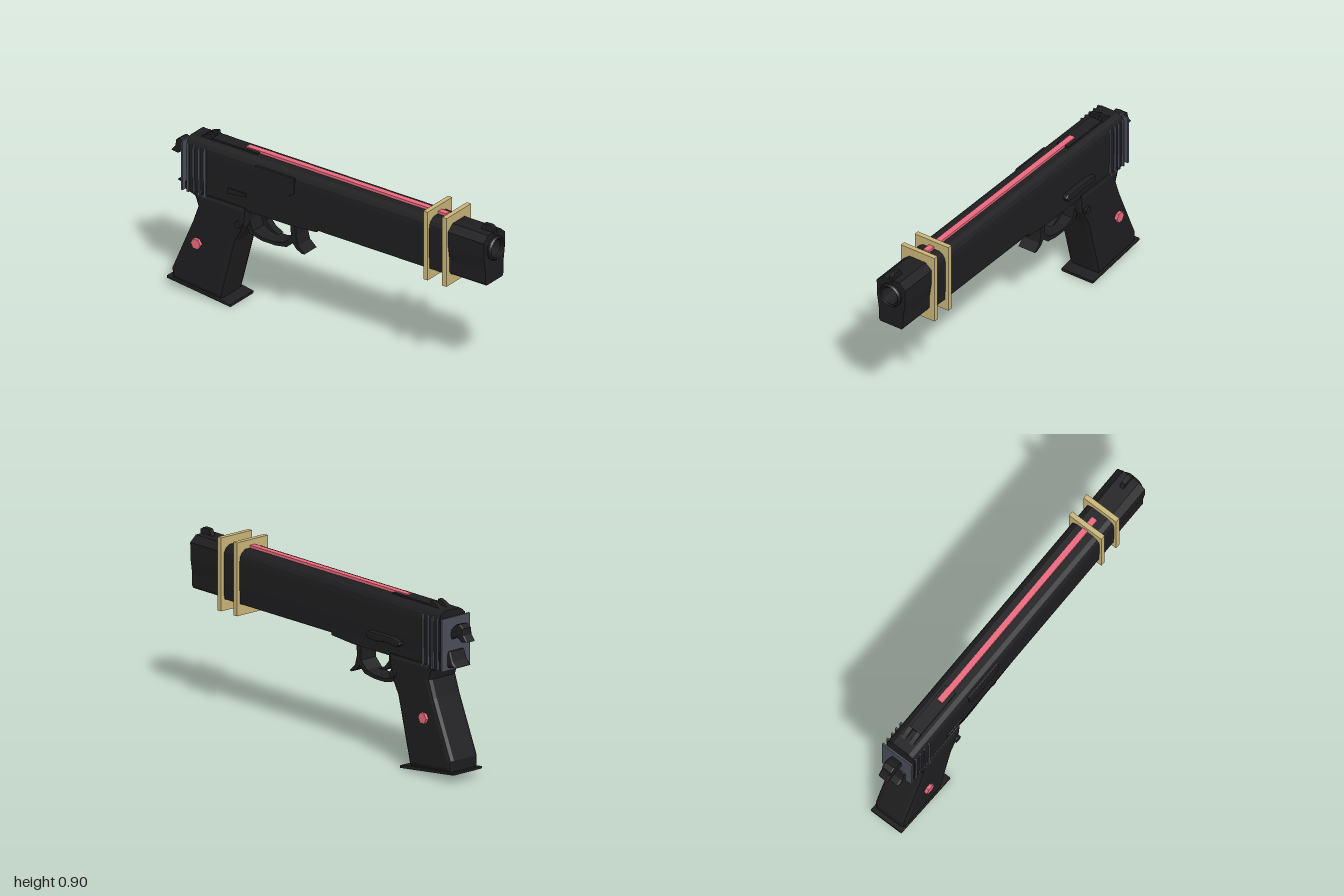
import * as THREE from 'three';

const mat = (color) => new THREE.MeshStandardMaterial({ color, flatShading: true, side: THREE.DoubleSide });

export function createModel() {
  const group = new THREE.Group();
  const black = mat(0x1e1e20), gold = mat(0xc8b478), pink = mat(0xe8697c), grey = mat(0x4a4d57);

  const add = (name, geo, material, x = 0, y = 0, z = 0) => {
    const mesh = new THREE.Mesh(geo, material);
    mesh.name = name;
    mesh.position.set(x, y, z);
    group.add(mesh);
    return mesh;
  };
  const box = (name, material, w, h, d, x, y, z) => add(name, new THREE.BoxGeometry(w, h, d), material, x, y, z);
  const points = (list) => list.map(([u, v]) => new THREE.Vector2(u, v));

  // Side outline given as [z, y], extruded across x and centred
  const side = (name, outline, width, bevel = 0, x = 0, hole = null) => {
    const shape = new THREE.Shape(points(outline));
    if (hole) shape.holes.push(new THREE.Path(points(hole)));
    const geo = new THREE.ExtrudeGeometry(shape, {
      depth: width - 2 * bevel, bevelEnabled: bevel > 0, bevelSize: bevel,
      bevelThickness: bevel, bevelOffset: -bevel, bevelSegments: 2, curveSegments: 8,
    });
    geo.translate(0, 0, bevel - width / 2);
    geo.rotateY(-Math.PI / 2);
    return add(name, geo, black, x);
  };

  // Front half-outline given as [x, y], mirrored and extruded along z
  const section = (name, half, z0, z1, boreRadius = 0) => {
    const mirrored = half.map(([x, y]) => [-x, y]).reverse();
    const shape = new THREE.Shape(points([...half, ...mirrored]));
    if (boreRadius) shape.holes.push(new THREE.Path().absarc(0, 0.77, boreRadius, 0, Math.PI * 2, true));
    const geo = new THREE.ExtrudeGeometry(shape, { depth: z1 - z0, bevelEnabled: false, curveSegments: 24 });
    return add(name, geo, black, -0.002, 0, z0);
  };

  // Slide: long body, then a bored nose with a narrow underside
  const crown = [[0.088, 0.80], [0.084, 0.83], [0.072, 0.848], [0.05, 0.862]];
  section('slideBody', [[0.084, 0.585], [0.088, 0.68], ...crown], -0.86, 0.75);
  section('slideNose', [[0.066, 0.585], [0.075, 0.6], [0.075, 0.665], [0.086, 0.74],
    [0.088, 0.825], [0.05, 0.858]], 0.75, 0.98, 0.048);

  // Muzzle ring and open bore
  const bore = new THREE.LatheGeometry(points([[0.048, 0.75], [0.048, 0.995], [0.056, 1.0],
    [0.064, 0.99], [0.064, 0.96]]), 28);
  bore.rotateX(Math.PI / 2);
  add('muzzle', bore, black, 0, 0.77, 0);

  // Sights and raised rear rib
  side('frontSight', [[0.985, 0.85], [0.985, 0.88], [0.965, 0.892], [0.92, 0.89], [0.9, 0.85]], 0.024);
  box('rearRib', black, 0.07, 0.014, 0.28, 0, 0.863, -0.6);
  for (const s of [-1, 1])
    side('rearSight', [[-0.735, 0.85], [-0.745, 0.89], [-0.78, 0.88], [-0.83, 0.85]], 0.025, 0, s * 0.025);

  // Frame beneath the slide and the tail behind the grip
  side('frame', [[-0.06, 0.61], [-0.06, 0.572], [-0.22, 0.56], [-0.5, 0.56], [-0.81, 0.55],
    [-0.87, 0.57], [-0.87, 0.61]], 0.166);
  side('tail', [[-0.8, 0.55], [-0.88, 0.572], [-0.945, 0.585], [-0.915, 0.61], [-0.895, 0.66], [-0.8, 0.68]],
    0.11, 0.012);

  // Grip and floor plate
  side('grip', [[-0.49, 0.58], [-0.5, 0.47], [-0.555, 0.37], [-0.645, 0.02], [-0.95, 0.05], [-0.953, 0.112],
    [-0.825, 0.41], [-0.793, 0.5], [-0.82, 0.58]], 0.192, 0.026);
  side('floorPlate', [[-0.583, 0.0], [-0.583, 0.014], [-0.645, 0.026], [-0.95, 0.055], [-0.975, 0.058],
    [-0.975, 0.045]], 0.196, 0.004);

  // Trigger guard with its front hook, and the trigger
  side('triggerGuard',
    [[-0.21, 0.575], [-0.213, 0.46], [-0.27, 0.412], [-0.34, 0.4], [-0.42, 0.4], [-0.5, 0.42], [-0.53, 0.48], [-0.53, 0.575]],
    0.1, 0, 0,
    [[-0.245, 0.567], [-0.243, 0.475], [-0.285, 0.434], [-0.34, 0.418], [-0.42, 0.418], [-0.478, 0.436],
      [-0.5, 0.5], [-0.485, 0.567]]);
  side('guardHook', [[-0.212, 0.49], [-0.198, 0.44], [-0.158, 0.405], [-0.175, 0.402], [-0.21, 0.42],
    [-0.235, 0.45]], 0.1);
  side('trigger', [[-0.418, 0.57], [-0.418, 0.505], [-0.385, 0.468], [-0.34, 0.445], [-0.39, 0.45],
    [-0.435, 0.48], [-0.458, 0.53], [-0.46, 0.57]], 0.04);

  // Hammer
  side('hammer', [[-0.84, 0.7], [-0.84, 0.77], [-0.885, 0.768], [-0.915, 0.8], [-0.945, 0.808], [-0.97, 0.79],
    [-0.975, 0.755], [-1.0, 0.725], [-0.96, 0.718], [-0.93, 0.738], [-0.89, 0.72]], 0.062, 0.008);

  // Side controls: slide lever (left), ejection port cover and rear lever (right)
  side('slideLever', [[-0.343, 0.65], [-0.36, 0.665], [-0.54, 0.667], [-0.59, 0.655], [-0.595, 0.64],
    [-0.57, 0.625], [-0.48, 0.632], [-0.42, 0.622], [-0.36, 0.625]], 0.04, 0.008, 0.094);
  side('ejectionPort', [[-0.19, 0.75], [-0.19, 0.835], [-0.43, 0.835], [-0.43, 0.77], [-0.4, 0.725],
    [-0.23, 0.725]], 0.02, 0.004, -0.085);
  side('rearLever', [[-0.49, 0.64], [-0.49, 0.66], [-0.6, 0.66], [-0.6, 0.63]], 0.02, 0.004, -0.088);

  for (const s of [-1, 1]) {
    const pin = new THREE.CylinderGeometry(0.02, 0.02, 0.04, 12).rotateZ(Math.PI / 2);
    add('framePin', pin, black, s * 0.088, 0.477, -0.533);
    const stud = new THREE.CylinderGeometry(0.03, 0.03, 0.018, 6).rotateZ(Math.PI / 2);
    add('gripStud', stud, pink, s * 0.117, 0.305, -0.777);
  }

  // Coloured trim: plates round the nose, top strip and rear fins
  for (const z of [0.745, 0.628]) box('collarPlate', gold, 0.206, 0.38, 0.026, 0, 0.715, z);
  box('topStrip', pink, 0.032, 0.022, 1.235, 0, 0.865, 0.073);
  for (let i = 0; i < 5; i++) box('rearFin', grey, 0.188, 0.272, 0.01, 0, 0.698, -0.744 - i * 0.035);

  return group;
}
